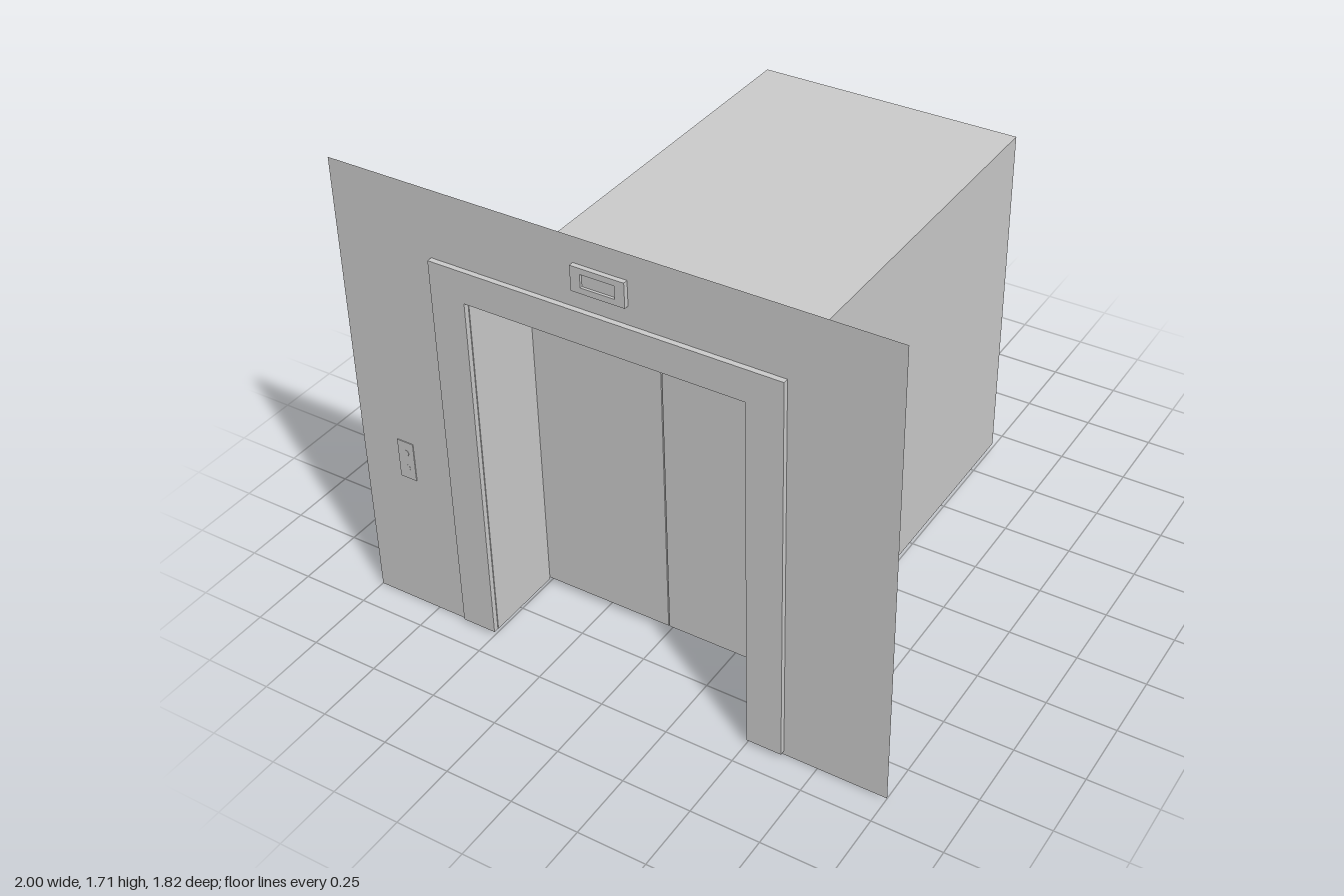
import * as THREE from 'three';

const WALL_Z = 0.892;
const FRONT_Z = 0.911;
const DOOR_Z = 0.59;
const BACK_Z = -0.911;
const HALF = 0.5;
const CAR_BOTTOM = 0.022;
const CAR_TOP = 1.35;

const solid = new THREE.MeshStandardMaterial({ color: 0xcccccc });
const sheet = new THREE.MeshStandardMaterial({ color: 0xcccccc, side: THREE.DoubleSide });

function add(parent, name, geometry, material = solid) {
  const mesh = new THREE.Mesh(geometry, material);
  mesh.name = name;
  parent.add(mesh);
  return mesh;
}

// Box given by its min and max corners
function box(parent, name, x0, x1, y0, y1, z0, z1) {
  const mesh = add(parent, name, new THREE.BoxGeometry(x1 - x0, y1 - y0, z1 - z0));
  mesh.position.set((x0 + x1) / 2, (y0 + y1) / 2, (z0 + z1) / 2);
  return mesh;
}

// Upside-down U outline around a doorway
function doorwayShape(outerX, outerTop, innerX, innerTop, bottom) {
  return new THREE.Shape([
    [-outerX, bottom], [-innerX, bottom], [-innerX, innerTop], [innerX, innerTop],
    [innerX, bottom], [outerX, bottom], [outerX, outerTop], [-outerX, outerTop],
  ].map(([x, y]) => new THREE.Vector2(x, y)));
}

function rectPoints(w, h) {
  return [[-w, -h], [w, -h], [w, h], [-w, h]].map(([x, y]) => new THREE.Vector2(x / 2, y / 2));
}

export function createModel() {
  const model = new THREE.Group();
  model.name = 'elevator';

  // Thin wall with the doorway cut out
  const wall = add(model, 'wall', new THREE.ShapeGeometry(doorwayShape(1, 1.71, 0.515, 1.37, 0)), sheet);
  wall.position.z = WALL_Z;

  // Raised door surround
  const surround = add(model, 'doorSurround', new THREE.ExtrudeGeometry(
    doorwayShape(0.628, 1.465, HALF, CAR_TOP, 0.015),
    { depth: FRONT_Z - WALL_Z, bevelEnabled: false }));
  surround.position.z = WALL_Z;

  // Lining from the surround back to the doors, open below
  const lining = add(model, 'doorLining', new THREE.ExtrudeGeometry(
    doorwayShape(HALF, CAR_TOP, HALF - 0.003, CAR_TOP - 0.003, 0.017),
    { depth: WALL_Z - DOOR_Z, bevelEnabled: false }));
  lining.position.z = DOOR_Z;

  // Car behind the doors
  box(model, 'car', -HALF, HALF, CAR_BOTTOM, CAR_TOP, BACK_Z, DOOR_Z - 0.006);

  // Pair of sliding doors with a narrow centre seam
  for (const [side, name] of [[1, 'leftDoor'], [-1, 'rightDoor']]) {
    const inner = side * 0.002;
    const outer = side * 0.497;
    box(model, name, Math.min(inner, outer), Math.max(inner, outer), 0.025, CAR_TOP - 0.003,
      DOOR_Z - 0.006, DOOR_Z);
  }

  // Floor indicator: a rim around a recessed screen
  const indicator = new THREE.Group();
  indicator.name = 'floorIndicator';
  indicator.position.set(0, 1.575, WALL_Z);
  const rimShape = new THREE.Shape(rectPoints(0.19, 0.088));
  rimShape.holes.push(new THREE.Path(rectPoints(0.12, 0.046)));
  add(indicator, 'indicatorRim', new THREE.ExtrudeGeometry(rimShape, { depth: 0.017, bevelEnabled: false }));
  box(indicator, 'indicatorScreen', -0.06, 0.06, -0.023, 0.023, 0, 0.008);
  model.add(indicator);

  // Call panel with two buttons
  const panel = new THREE.Group();
  panel.name = 'callPanel';
  panel.position.set(-0.82, 0.615, WALL_Z);
  box(panel, 'panelPlate', -0.032, 0.032, -0.075, 0.075, 0, 0.003);
  for (const y of [-0.03, 0.03]) {
    const button = add(panel, 'callButton', new THREE.CylinderGeometry(0.012, 0.012, 0.002, 16));
    button.rotation.x = Math.PI / 2;
    button.position.set(0, y, 0.003);
  }
  model.add(panel);

  return model;
}
